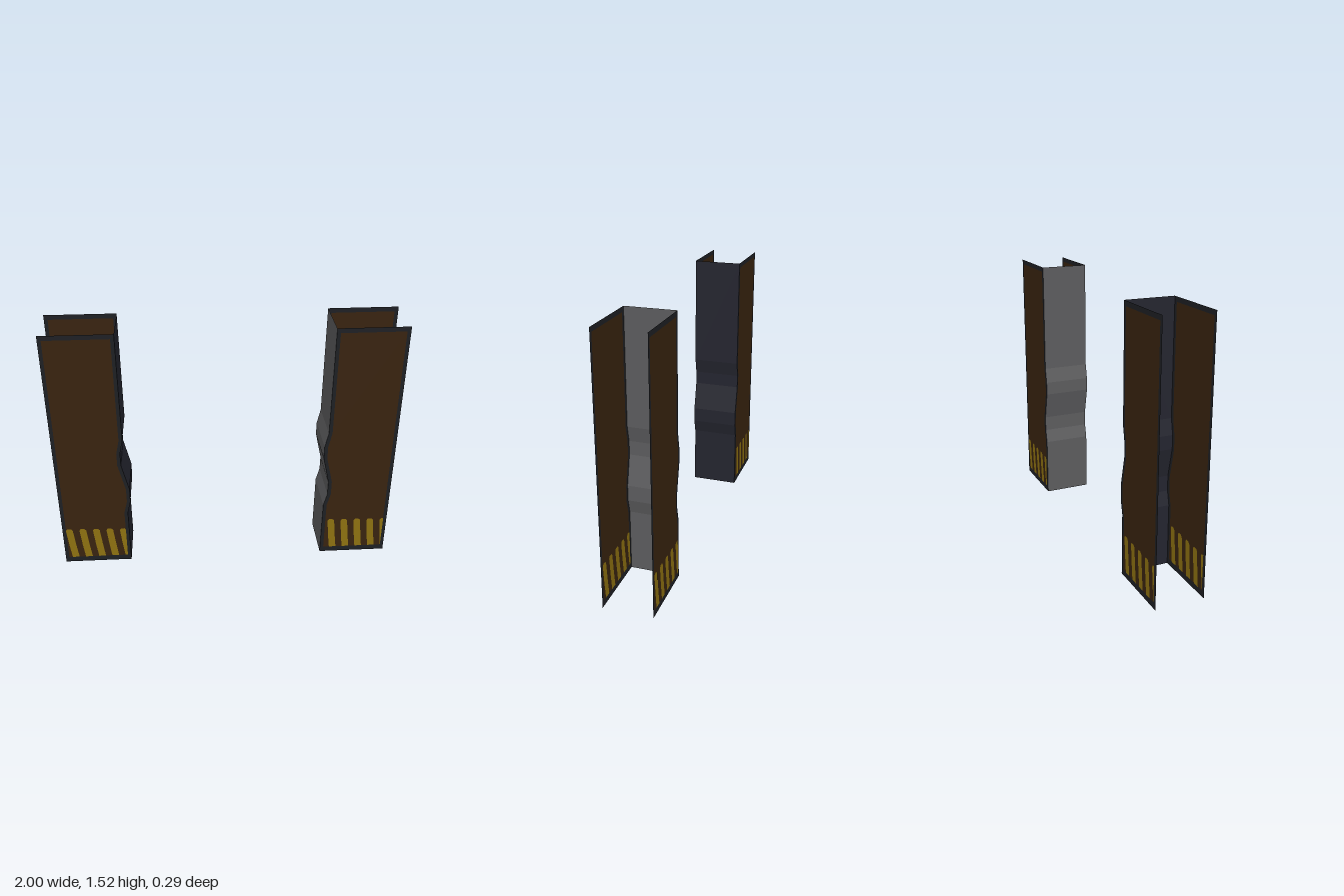
import * as THREE from 'three';

const HEIGHT = 1.525, WIDTH = 0.405, HALF_DEPTH = 0.142;
const BORDER = 0.021, TOP = 0.028, BOTTOM = 0.035;

// Sideways wave of the wall edge: [y, x offset]
const WAVE = [[0, 0], [0.36, 0], [0.44, 0.02], [0.53, 0.02], [0.7, -0.019], [0.78, -0.019], [0.87, 0], [HEIGHT, 0]];

const material = (name, color) => {
  const m = new THREE.MeshStandardMaterial({ color, side: THREE.DoubleSide });
  m.name = name;
  return m;
};

function addMesh(parent, name, geometry, mat) {
  const mesh = new THREE.Mesh(geometry, mat);
  mesh.name = name;
  parent.add(mesh);
  return mesh;
}

// Panel outline: straight outer edge, wavy edge on the wall side
function outline(outerX, wallX, y0, y1) {
  const points = [new THREE.Vector2(outerX, y0)];
  WAVE.forEach(([y, dx]) => points.push(new THREE.Vector2(wallX + dx, THREE.MathUtils.clamp(y, y0, y1))));
  points.push(new THREE.Vector2(outerX, y1));
  return points;
}

// Folded end wall: a ribbon bent along the wave
function wallGeometry(wallX) {
  const geo = new THREE.PlaneGeometry(2 * HALF_DEPTH, 1, 1, WAVE.length - 1);
  geo.rotateY(Math.PI / 2);
  const pos = geo.attributes.position;
  for (let i = 0; i < pos.count; i++) {
    const [y, dx] = WAVE[WAVE.length - 1 - Math.floor(i / 2)];
    pos.setX(i, wallX + dx);
    pos.setY(i, y);
  }
  const flat = geo.toNonIndexed();
  flat.computeVertexNormals();
  return flat;
}

// Five slanted warning stripes with worn, rounded tops
function stripeGeometry(shift) {
  const limit = WIDTH / 2 - BORDER;
  const shapes = [];
  for (let i = 0; i < 5; i++) {
    const x = -0.181 + shift + i * 0.0815;
    const top = 0.252 - i * 0.002;
    const corners = [
      [x + 0.022, 0.036], [x + 0.064, 0.036], [x + 0.052, 0.13], [x + 0.041, top - 0.012],
      [x + 0.03, top], [x + 0.008, top], [x, top - 0.012], [x + 0.01, 0.13],
    ];
    shapes.push(new THREE.Shape(corners.map(([px, py]) => new THREE.Vector2(Math.min(px, limit), py))));
  }
  return new THREE.ShapeGeometry(shapes);
}

export function createModel() {
  const model = new THREE.Group();
  model.name = 'doorFramePair';
  const brown = material('darkBrown', 0x38230f);
  const yellow = material('warningYellow', 0x8c7010);
  const trim = material('blackTrim', 0x1d1f23);
  const navy = material('darkNavy', 0x24252f);
  const grey = material('grey', 0x5c5c5e);

  for (const side of [-1, 1]) {
    const jamb = new THREE.Group();
    jamb.name = side < 0 ? 'rightJamb' : 'leftJamb';
    model.add(jamb);
    const outerX = side * 0.998, wallX = side * 0.594;
    const centre = (outerX + wallX) / 2;

    addMesh(jamb, 'endWall', wallGeometry(wallX), side < 0 ? navy : grey);

    const inner = outline(outerX - side * BORDER, wallX + side * BORDER, BOTTOM, HEIGHT - TOP);
    const frame = new THREE.Shape(outline(outerX, wallX, 0, HEIGHT));
    frame.holes.push(new THREE.Path(inner));
    const fieldGeo = new THREE.ShapeGeometry(new THREE.Shape(inner));
    const frameGeo = new THREE.ShapeGeometry(frame);

    for (const z of [HALF_DEPTH, -HALF_DEPTH]) {
      const panel = new THREE.Group();
      panel.name = z > 0 ? 'frontPanel' : 'backPanel';
      panel.position.z = z;
      jamb.add(panel);
      addMesh(panel, 'panelField', fieldGeo, brown);
      addMesh(panel, 'panelBorder', frameGeo, trim);
      // Stripes read the same way on both faces
      for (const facing of [1, -1]) {
        const shift = side * facing < 0 ? 0 : 0.014;
        const stripes = addMesh(panel, 'warningStripes', stripeGeometry(shift), yellow);
        stripes.position.set(centre, 0, facing * 0.002);
        stripes.rotation.y = facing > 0 ? 0 : Math.PI;
      }
    }
  }
  return model;
}
